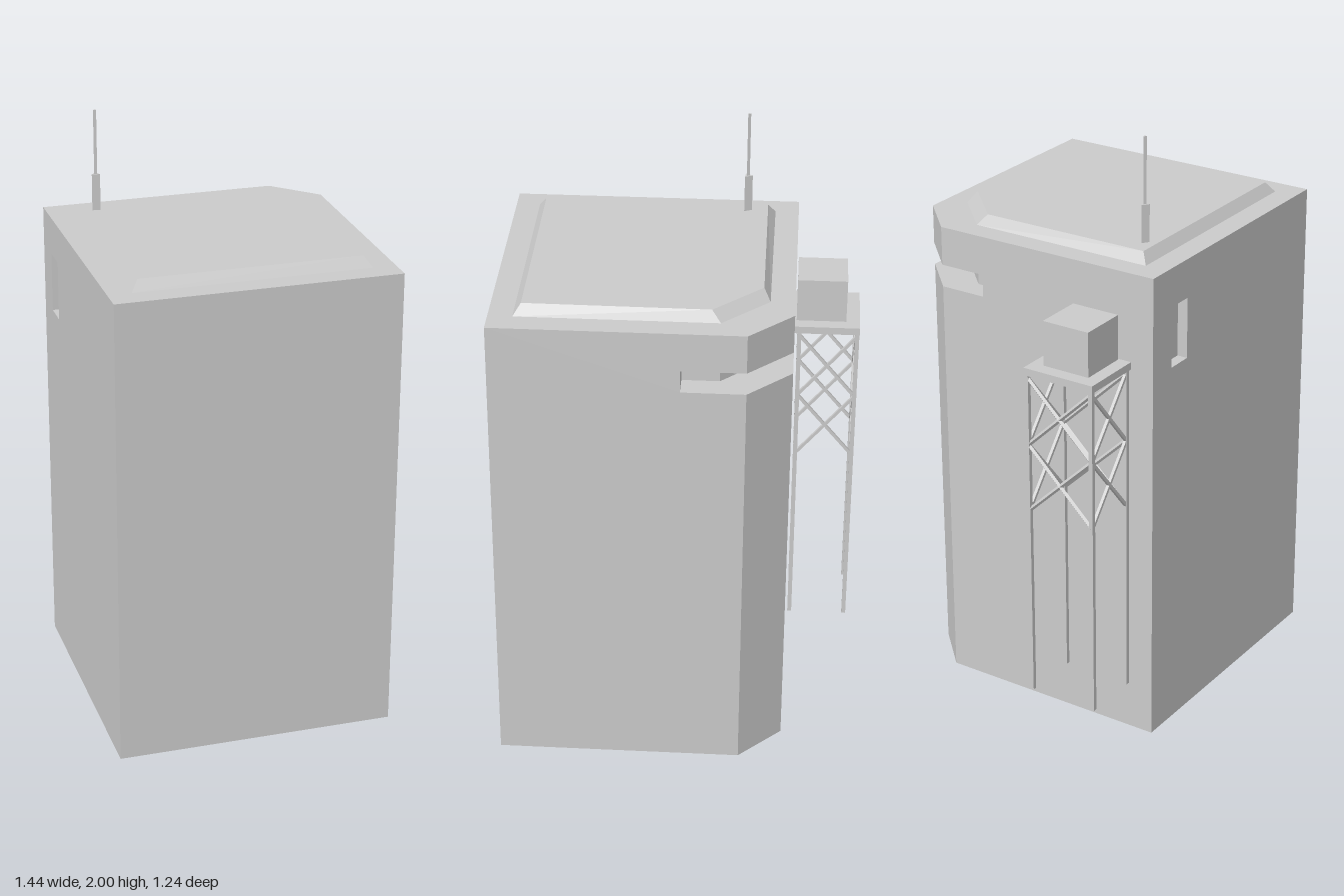
import * as THREE from 'three';
import { mergeGeometries } from 'three/addons/utils/BufferGeometryUtils.js';

const H = 1.62, ROOF_TOP = 1.655;
const material = new THREE.MeshStandardMaterial({ color: 0xcccccc, flatShading: true });

// footprint corners [x, z], left to right as seen from outside
const L = [-0.625, -0.05], F = [0.045, 0.62], R = [0.715, -0.05], BR = [0.145, -0.62], BL = [-0.055, -0.62];
const footprint = [L, F, R, BR, BL];

const vec = (p) => new THREE.Vector2(p[0], p[1]);
const dist = (a, b) => Math.hypot(b[0] - a[0], b[1] - a[1]);
const along = (a, b, d) => [0, 1].map((i) => a[i] + (b[i] - a[i]) * d / dist(a, b));
const rect = (u0, v0, u1, v1) => [[u0, v0], [u1, v0], [u1, v1], [u0, v1]];

function mesh(name, geometry) {
  const m = new THREE.Mesh(geometry, material);
  m.name = name;
  return m;
}

// upright panel starting at a, running towards b, outlined in (distance, height)
function wall(a, b, outline, hole) {
  const shape = new THREE.Shape(outline.map(vec));
  if (hole) shape.holes.push(new THREE.Path(hole.map(vec)));
  const d = new THREE.Vector3(b[0] - a[0], 0, b[1] - a[1]).normalize();
  const up = new THREE.Vector3(0, 1, 0);
  const frame = new THREE.Matrix4().makeBasis(d, up, d.clone().cross(up)).setPosition(a[0], 0, a[1]);
  return new THREE.ShapeGeometry(shape).applyMatrix4(frame);
}

// level polygon facing up (1) or down (-1)
function level(points, y, facing) {
  const shape = new THREE.Shape(points.map(([x, z]) => new THREE.Vector2(x, -facing * z)));
  return new THREE.ShapeGeometry(shape).rotateX(-facing * Math.PI / 2).translate(0, y, 0);
}

// hollow cut into the body: inner walls along a path, plus floor and ceiling
function niche(name, path, outer, y0, y1) {
  const parts = path.slice(1).map((p, i) => wall(path[i], p, rect(0, y0, dist(path[i], p), y1)));
  const plan = [...path, ...outer];
  parts.push(level(plan, y0, 1), level(plan, y1, -1));
  return mesh(name, mergeGeometries(parts));
}

// sloped solid between two matching outlines, closed on top
function slopedCap(base, top, y0, y1) {
  const pos = [];
  base.forEach((p, i) => {
    const j = (i + 1) % base.length;
    const a = [p[0], y0, p[1]], b = [base[j][0], y0, base[j][1]];
    const c = [top[j][0], y1, top[j][1]], d = [top[i][0], y1, top[i][1]];
    pos.push(...a, ...b, ...c, ...a, ...c, ...d);
  });
  const sides = new THREE.BufferGeometry();
  sides.setAttribute('position', new THREE.Float32BufferAttribute(pos, 3));
  sides.computeVertexNormals();
  const lid = level(top, y1, 1).toNonIndexed();
  lid.deleteAttribute('uv');
  return mergeGeometries([sides, lid]);
}

function buildBody() {
  const body = new THREE.Group();
  body.name = 'building';
  const side = dist(L, F), backSide = dist(R, BR), chamfer = dist(BR, BL);
  const s0 = 1.415, s1 = 1.49;          // corner slot heights
  const w0 = 0.106, w1 = 0.198, wy0 = 1.285, wy1 = 1.49;   // window recess
  const slotR = 0.601, slotL = 0.16;    // slot ends along the two rear sides

  body.add(mesh('walls', mergeGeometries([
    wall(L, F, rect(0, 0, side, H), rect(w0, wy0, w1, wy1)),
    wall(F, R, rect(0, 0, dist(F, R), H)),
    wall(R, BR, [[0, 0], [backSide, 0], [backSide, s0], [slotR, s0], [slotR, s1], [backSide, s1], [backSide, H], [0, H]]),
    wall(BR, BL, rect(0, 0, chamfer, s0)),
    wall(BR, BL, rect(0, s1, chamfer, H)),
    wall(BL, L, [[0, 0], [dist(BL, L), 0], [dist(BL, L), H], [0, H], [0, s1], [slotL, s1], [slotL, s0], [0, s0]]),
    level(footprint, 0, -1),
    level(footprint, H, 1),
  ])));

  // window recess in the front right side
  const p0 = along(L, F, w0), p1 = along(L, F, w1), k = 0.025;
  body.add(niche('windowRecess', [p0, [p0[0] + k, p0[1] - k], [p1[0] + k, p1[1] - k], p1], [], wy0, wy1));

  // slot wrapping the cut rear corner
  const q0 = along(R, BR, slotR), q1 = along(BL, L, slotL), d = 0.055;
  body.add(niche('cornerSlot',
    [q0, [q0[0] - d, q0[1] + d], [0.15, -0.505], [-0.06, -0.505], [q1[0] + d, q1[1] + d], q1],
    [BL, BR], s0, s1));

  // raised roof deck with bevelled rim
  body.add(mesh('roofDeck', slopedCap(
    [[-0.515, -0.05], [0.045, 0.51], [0.605, -0.05], [0.15, -0.505], [-0.06, -0.505]],
    [[-0.48, -0.05], [0.045, 0.475], [0.57, -0.05], [0.155, -0.47], [-0.065, -0.47]], H, ROOF_TOP)));
  return body;
}

function bar(name, a, b, t) {
  const from = new THREE.Vector3(...a), to = new THREE.Vector3(...b);
  const m = mesh(name, new THREE.BoxGeometry(t, t, from.distanceTo(to)));
  m.position.copy(from).lerp(to, 0.5);
  m.quaternion.setFromUnitVectors(new THREE.Vector3(0, 0, 1), to.sub(from).normalize());
  return m;
}

// trestle against the rear right wall; local z points away from the wall
function buildTrestle() {
  const g = new THREE.Group();
  g.name = 'trestle';
  const platform = mesh('platform', new THREE.BoxGeometry(0.255, 0.025, 0.216));
  platform.position.set(0, 1.312, 0.108);
  const cabinet = mesh('cabinet', new THREE.BoxGeometry(0.167, 0.15, 0.165));
  cabinet.position.set(0, 1.4, 0.088);
  g.add(platform, cabinet);

  const feet = [[-0.119, 0.208], [0.119, 0.208], [0.119, 0.016], [-0.119, 0.016]];
  feet.forEach(([x, z], i) => {
    const leg = mesh('leg', new THREE.BoxGeometry(0.014, 1.13, 0.014));
    leg.position.set(x, 0.735, z);
    g.add(leg);
    // two crossed bays on each side
    const [x2, z2] = feet[(i + 1) % 4];
    for (const [lo, hi] of [[0.83, 1.06], [1.06, 1.29]]) {
      g.add(bar('brace', [x, lo, z], [x2, hi, z2], 0.01), bar('brace', [x, hi, z], [x2, lo, z2], 0.01));
    }
  });
  g.position.set(-0.4775, 0, -0.1975);
  g.rotation.y = -3 * Math.PI / 4;
  return g;
}

// three-sided mast on the roof
function buildAntenna() {
  const g = new THREE.Group();
  g.name = 'antenna';
  for (const [name, r, y0, y1] of [['antennaBase', 0.016, ROOF_TOP, 1.78], ['antennaRod', 0.006, 1.78, 2]]) {
    const m = mesh(name, new THREE.CylinderGeometry(r, r, y1 - y0, 3));
    m.position.y = (y0 + y1) / 2;
    g.add(m);
  }
  g.position.set(-0.403, 0, -0.03);
  g.rotation.y = -0.38;
  return g;
}

export function createModel() {
  const model = new THREE.Group();
  model.name = 'towerBlock';
  model.add(buildBody(), buildTrestle(), buildAntenna());
  return model;
}
